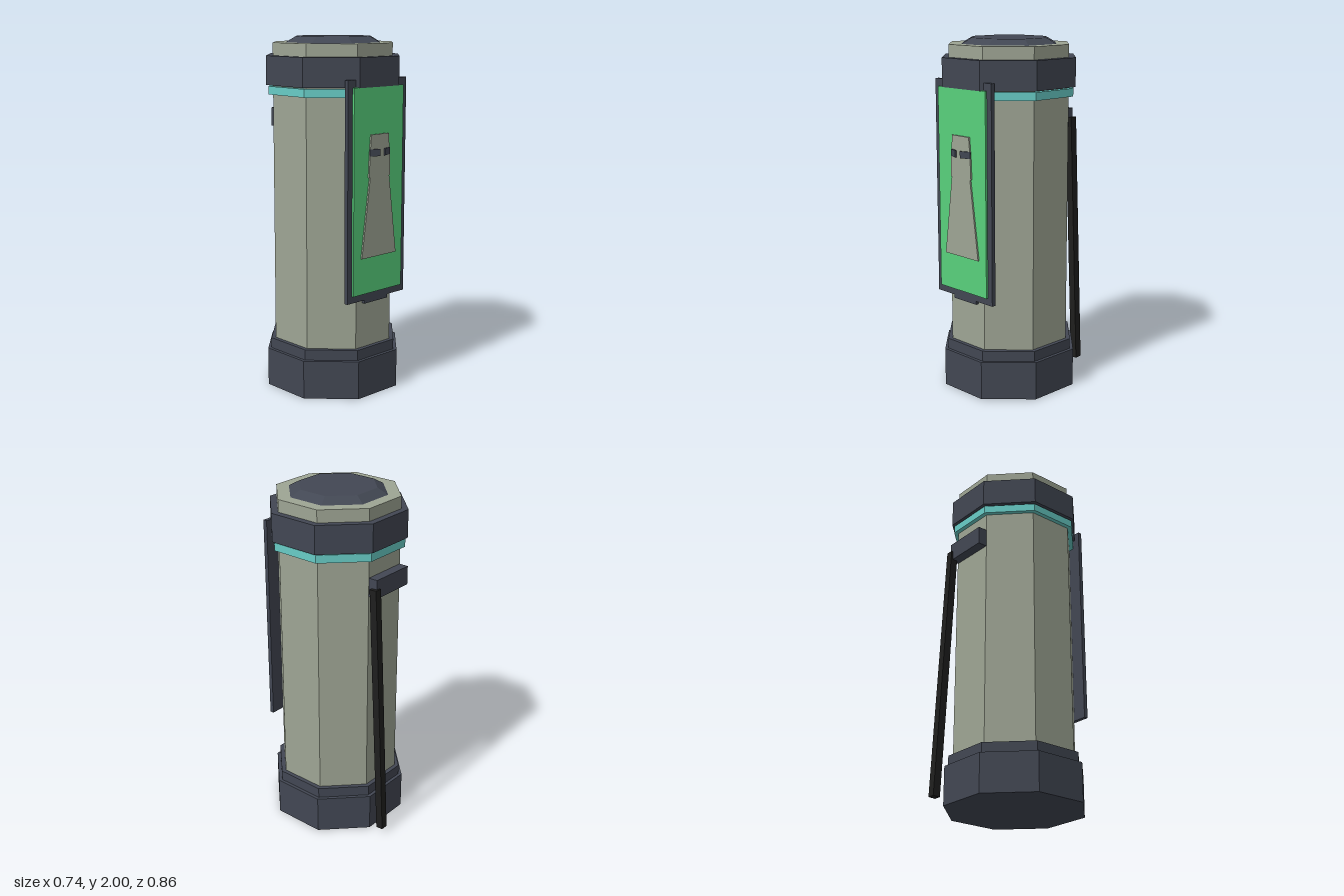
import * as THREE from 'three';

const mat = (name, color) => {
  const m = new THREE.MeshStandardMaterial({ color });
  m.name = name;
  return m;
};

export function createModel() {
  const model = new THREE.Group();
  const sage = mat('sage shell', 0x9ea594);
  const slate = mat('dark slate', 0x424753);
  const teal = mat('teal', 0x68ccc6);
  const green = mat('green', 0x58d07c);
  const black = mat('black', 0x1f1f1e);
  const centreZ = 0.038;

  const add = (name, geometry, material, x = 0, y = 0, z = 0) => {
    const mesh = new THREE.Mesh(geometry, material);
    mesh.name = name;
    mesh.position.set(x, y, z);
    model.add(mesh);
    return mesh;
  };

  // Octagonal drum with flats facing the axes; sizes measured to the flats
  const drum = (name, material, y0, y1, bottom, top = bottom) => {
    const k = 1 / Math.cos(Math.PI / 8);
    const g = new THREE.CylinderGeometry(top * k, bottom * k, y1 - y0, 8).toNonIndexed();
    g.rotateY(Math.PI / 8);
    g.computeVertexNormals();
    return add(name, g, material, 0, (y0 + y1) / 2, centreZ);
  };

  // Box given by its limits
  const box = (name, material, x0, x1, y0, y1, z0, z1) =>
    add(name, new THREE.BoxGeometry(x1 - x0, y1 - y0, z1 - z0), material,
      (x0 + x1) / 2, (y0 + y1) / 2, (z0 + z1) / 2);

  // Canister, from the foot up
  drum('base', slate, 0, 0.22, 0.371);
  drum('baseStep', slate, 0.22, 0.28, 0.352);
  drum('body', sage, 0.28, 1.967, 0.328);
  drum('glowRing', teal, 1.685, 1.73, 0.353);
  drum('collar', slate, 1.737, 1.897, 0.365);
  drum('cap', slate, 1.967, 2.0, 0.26, 0.205);

  // Front panel with its backing frame and lower tab
  box('panelFrame', slate, -0.224, 0.224, 0.56, 1.78, 0.364, 0.388);
  box('panelTab', slate, -0.09, 0.09, 0.54, 0.56, 0.364, 0.388);
  box('panelFace', green, -0.19, 0.19, 0.6, 1.74, 0.388, 0.4);

  // Flat figure on the panel: flared body and narrow head
  const half = [[0.134, 0.805], [0.074, 1.25], [0.082, 1.25], [0.077, 1.37], [0.067, 1.483]];
  const outline = [...half, ...half.map(([x, y]) => [-x, y]).reverse()];
  const figure = new THREE.Shape(outline.map(([x, y]) => new THREE.Vector2(x, y)));
  add('figure', new THREE.ExtrudeGeometry(figure, { depth: 0.009, bevelEnabled: false }),
    sage, 0, 0, 0.4);

  // Angled eye plates
  for (const side of [-1, 1]) {
    const eye = add(side < 0 ? 'rightEye' : 'leftEye',
      new THREE.BoxGeometry(0.063, 0.038, 0.008), slate, side * 0.047, 1.385, 0.416);
    eye.rotation.y = side * 0.36;
  }

  // Rear bracket and the leaning rod hung from its end
  box('rearBracket', slate, -0.135, 0.135, 1.477, 1.583, -0.345, -0.285);
  const top = new THREE.Vector3(0.134, 1.53, -0.333);
  const foot = new THREE.Vector3(0.134, 0.03, -0.407);
  const rod = add('rod', new THREE.BoxGeometry(0.043, top.distanceTo(foot), 0.043), black);
  rod.position.copy(top).add(foot).multiplyScalar(0.5);
  rod.rotation.x = Math.atan2(top.z - foot.z, top.y - foot.y);

  return model;
}
